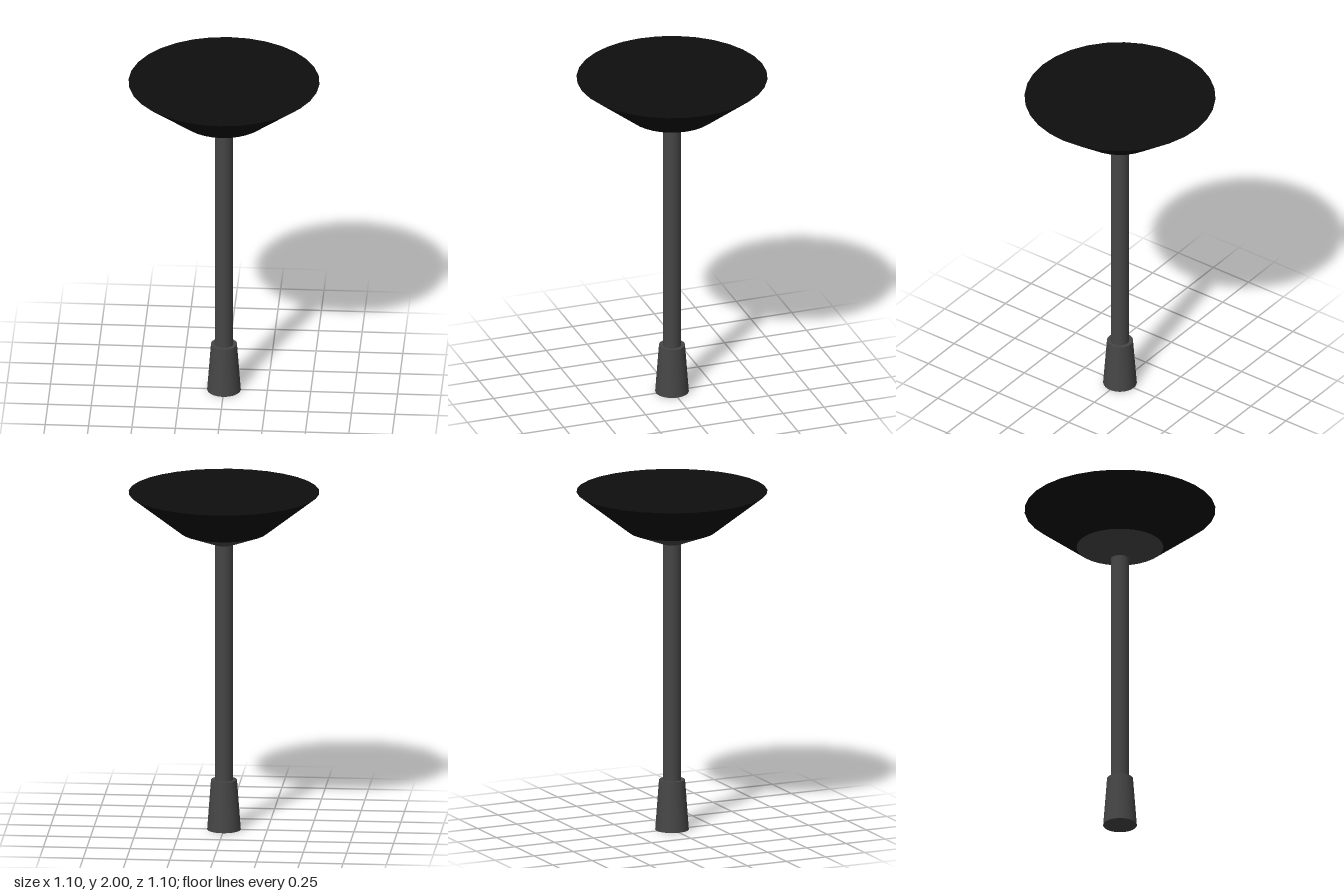
import * as THREE from 'three';

export function createModel() {
  const group = new THREE.Group();
  const grey = new THREE.MeshStandardMaterial({ color: 0x464646 });
  grey.name = 'darkGrey';
  const black = new THREE.MeshStandardMaterial({ color: 0x0e0e0e });
  black.name = 'black';

  // Capped round section between two heights
  function section(name, material, bottomRadius, topRadius, y0, y1) {
    const geometry = new THREE.CylinderGeometry(topRadius, bottomRadius, y1 - y0, 32);
    const mesh = new THREE.Mesh(geometry, material);
    mesh.name = name;
    mesh.position.y = (y0 + y1) / 2;
    group.add(mesh);
  }

  section('handle', grey, 0.097, 0.075, 0, 0.295); // tapered grip
  section('stem', grey, 0.053, 0.053, 0.29, 1.7); // long rod
  section('collar', grey, 0.053, 0.25, 1.69, 1.765); // shallow flare under the cup
  section('cup', black, 0.25, 0.55, 1.765, 2); // wide flat-topped cone

  return group;
}
